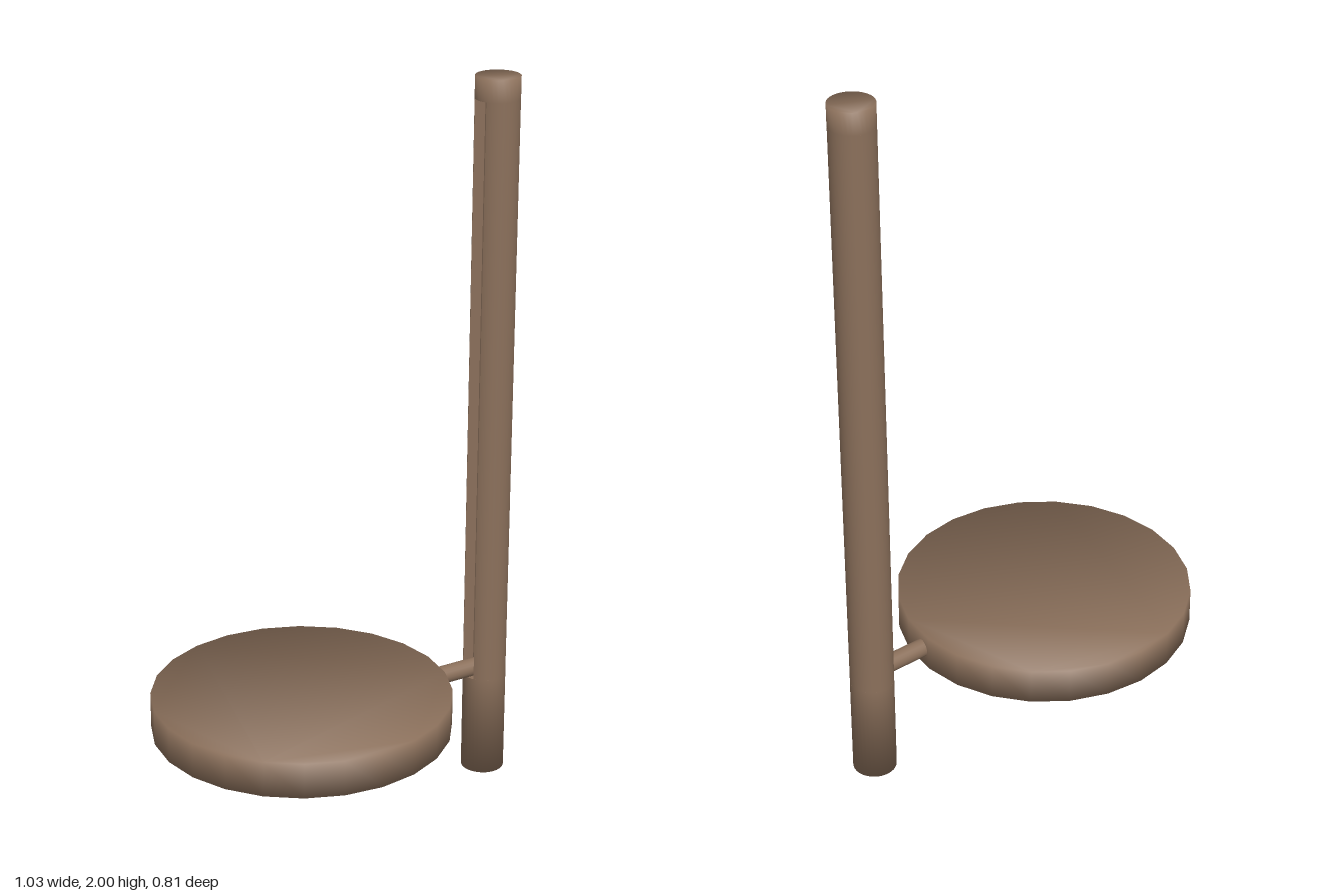
import * as THREE from 'three';

const brown = new THREE.MeshStandardMaterial({ color: 0x8b705b });
brown.name = 'brown';

// Points on an arc, angles in radians
function arc(r, from, to, n) {
  return Array.from({ length: n }, (_, i) => {
    const a = from + (to - from) * i / (n - 1);
    return new THREE.Vector2(r * Math.cos(a), r * Math.sin(a));
  });
}

const ring = (r, n, offset = 0) => arc(r, offset, offset + 2 * Math.PI * (n - 1) / n, n);

// Upright prism from an outline. Round walls are smooth; a soft end
// blends the wall normal into the cap as one continuous surface.
function prism(name, outline, y0, y1, softBottom, softTop) {
  const g = new THREE.ExtrudeGeometry(new THREE.Shape(outline), { depth: y1 - y0, bevelEnabled: false });
  g.rotateX(-Math.PI / 2);
  g.translate(0, y0, 0);
  const p = g.attributes.position, nrm = g.attributes.normal;
  const v = new THREE.Vector3(), n = new THREE.Vector3();
  for (let i = 0; i < p.count; i++) {
    const top = p.getY(i) > (y0 + y1) / 2;
    const soft = top ? softTop : softBottom;
    v.set(p.getX(i), 0, p.getZ(i)).normalize();
    n.fromBufferAttribute(nrm, i);
    const roundWall = n.dot(v) > 0.9;
    if (!roundWall && !soft) continue;
    if (soft) v.y = top ? 1 : -1;
    v.normalize();
    nrm.setXYZ(i, v.x, v.y, v.z);
  }
  const mesh = new THREE.Mesh(g, brown);
  mesh.name = name;
  return mesh;
}

export function createModel() {
  const model = new THREE.Group();
  model.name = 'poleWithDisc';

  // Faceted round disc
  const disc = prism('disc', ring(0.41, 24, Math.PI / 24), 0.265, 0.365, true, true);
  disc.position.x = -0.112;
  model.add(disc);

  // Pole with a long slot facing the disc
  const pole = new THREE.Group();
  pole.name = 'pole';
  const R = 0.06, half = 0.46;
  const w = R * Math.sin(half);
  const slotted = [
    ...arc(R, -Math.PI + half, Math.PI - half, 28),
    new THREE.Vector2(-0.02, w),
    new THREE.Vector2(-0.02, -w),
  ];
  pole.add(
    prism('poleFoot', ring(R, 32), 0, 0.29, true, false),
    prism('slottedShaft', slotted, 0.29, 1.94, false, false),
    prism('poleTop', ring(R, 32), 1.94, 2, false, true),
  );

  // Arm running from the slot into the disc rim
  const arm = new THREE.Mesh(new THREE.CylinderGeometry(0.025, 0.025, 0.17, 20), brown);
  arm.name = 'arm';
  arm.rotation.z = Math.PI / 2;
  arm.position.set(-0.1, 0.315, 0);
  pole.add(arm);

  pole.position.set(0.456, 0, 0.11);
  pole.rotation.y = -0.14;
  model.add(pole);
  return model;
}
